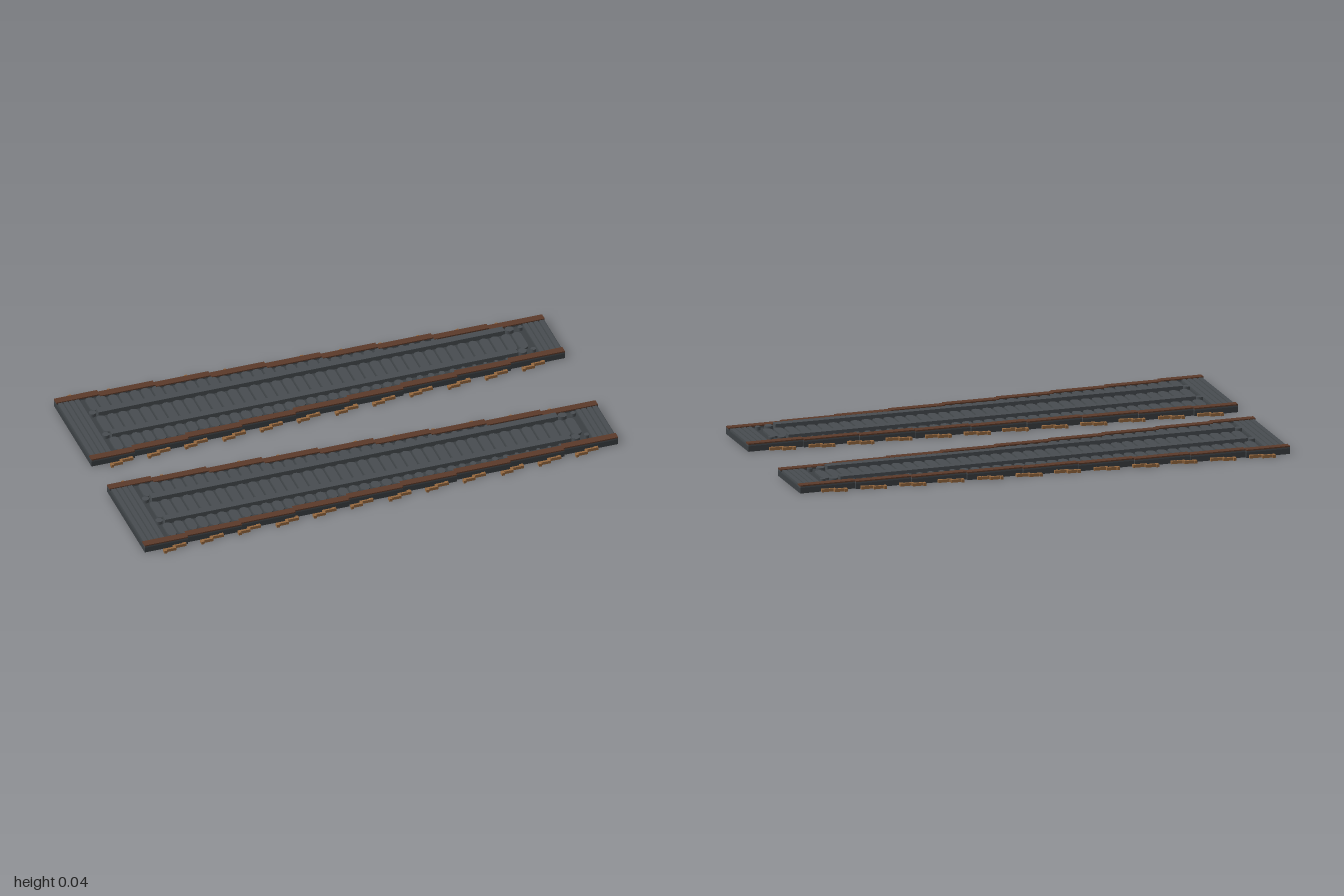
import * as THREE from 'three';

const mat = (name, color) => Object.assign(new THREE.MeshStandardMaterial({ color }), { name });

export function createModel() {
  const steel = mat('dark steel', 0x484d51);
  const deckSteel = mat('deck steel', 0x3b4043);
  const rust = mat('rust brown', 0x5c3a2a);
  const brass = mat('brass', 0x96693f);

  const SEGMENTS = 9, FLOOR = 0.022, CURB_TOP = 0.033, CURB = 0.031;
  // Segment limits along x, and the stepped half width of each segment
  const edge = i => (i === 0 ? -1 : i === SEGMENTS ? 1 : -0.82 + (i - 1) * 0.2275);
  const halfWidth = i => 0.223 - i * 0.011;
  const segmentAt = x => {
    let i = 0;
    while (i < SEGMENTS - 1 && x > edge(i + 1)) i++;
    return i;
  };

  // Box given by its limits
  function box(parent, name, material, x0, x1, y0, y1, z0, z1) {
    const m = new THREE.Mesh(new THREE.BoxGeometry(x1 - x0, y1 - y0, Math.abs(z1 - z0)), material);
    m.position.set((x0 + x1) / 2, (y0 + y1) / 2, (z0 + z1) / 2);
    m.name = name;
    parent.add(m);
  }

  // Raised tread bar with rounded ends, running across the ramp
  function treadBar(parent, x, z0, z1, width) {
    const r = width / 2, half = (z1 - z0) / 2 - r;
    const s = new THREE.Shape();
    s.absarc(0, half, r, 0, Math.PI, false);
    s.absarc(0, -half, r, Math.PI, Math.PI * 2, false);
    const g = new THREE.ExtrudeGeometry(s, { depth: 0.008, bevelEnabled: false, curveSegments: 6 });
    const m = new THREE.Mesh(g.rotateX(-Math.PI / 2), steel);
    m.position.set(x, FLOOR, (z0 + z1) / 2);
    m.name = 'treadBar';
    parent.add(m);
  }

  function bolt(parent, x, z, r) {
    const m = new THREE.Mesh(new THREE.CylinderGeometry(r, r, 0.014, 8), steel);
    m.position.set(x, FLOOR + 0.007, z);
    m.name = 'bolt';
    parent.add(m);
  }

  // Z-shaped hook lying along a side edge
  function hook(parent, x, side) {
    const z = halfWidth(segmentAt(x + 0.04));
    const h = new THREE.Group();
    h.name = 'sideHook';
    const piece = (x0, x1, a, b) => box(h, 'hookBar', brass, x + x0, x + x1, 0, 0.012, side * (z + a), side * (z + b));
    piece(0, 0.012, 0.016, 0.034);
    piece(0.012, 0.052, 0.016, 0.026);
    piece(0.044, 0.054, 0.008, 0.016);
    piece(0.044, 0.1, 0.004, 0.012);
    piece(0.084, 0.1, -0.004, 0.004);
    parent.add(h);
  }

  function ramp(name) {
    const g = new THREE.Group();
    g.name = name;

    // Stepped floor, curbs and their brown caps
    for (let i = 0; i < SEGMENTS; i++) {
      const x0 = edge(i), x1 = edge(i + 1), w = halfWidth(i);
      box(g, 'floor', deckSteel, x0, x1, 0, FLOOR, -w, w);
      for (const s of [-1, 1]) {
        box(g, 'curb', steel, x0, x1, FLOOR, 0.028, s * (w - CURB), s * w);
        box(g, 'curbCap', rust, x0, x1, 0.028, CURB_TOP, s * (w - CURB), s * w);
      }
    }

    // Cross slats at both ends
    const slat = x => {
      const w = halfWidth(segmentAt(x)) - CURB - 0.001;
      box(g, 'endSlat', steel, x - 0.009, x + 0.009, FLOOR, 0.03, -w, w);
    };
    for (let i = 0; i < 4; i++) {
      slat(-0.985 + i * 0.023);
      slat(0.985 - i * 0.023);
    }

    // Three lanes of tread bars
    for (let i = 0; i < 39; i++) {
      const x = -0.868 + i * 0.0455, w = halfWidth(segmentAt(x)) - CURB - 0.003;
      treadBar(g, x, -0.058, 0.058, 0.037);
      if (w > 0.102) {
        const bar = Math.min(0.037, (w - 0.097) * 0.95);
        for (const s of [-1, 1]) {
          const a = s * 0.097, b = s * w;
          treadBar(g, x, Math.min(a, b), Math.max(a, b), bar);
        }
      }
    }

    // Two long wheel rails with bolts past their ends
    for (const s of [-1, 1]) {
      const z = s * 0.079;
      box(g, 'rail', steel, -0.87, 0.82, FLOOR, 0.042, z - 0.016, z + 0.016);
      bolt(g, -0.89, z, 0.015);
      bolt(g, 0.843, z, 0.018);
      bolt(g, 0.888, z, 0.011);
    }

    // Hooks down both sides
    for (let i = 0; i < 12; i++) for (const s of [-1, 1]) hook(g, -0.93 + i * 0.1585, s);
    return g;
  }

  const model = new THREE.Group();
  model.name = 'rampPair';
  for (const [name, z] of [['frontRamp', 0.314], ['backRamp', -0.314]]) {
    const r = ramp(name);
    r.position.z = z;
    model.add(r);
  }
  return model;
}
